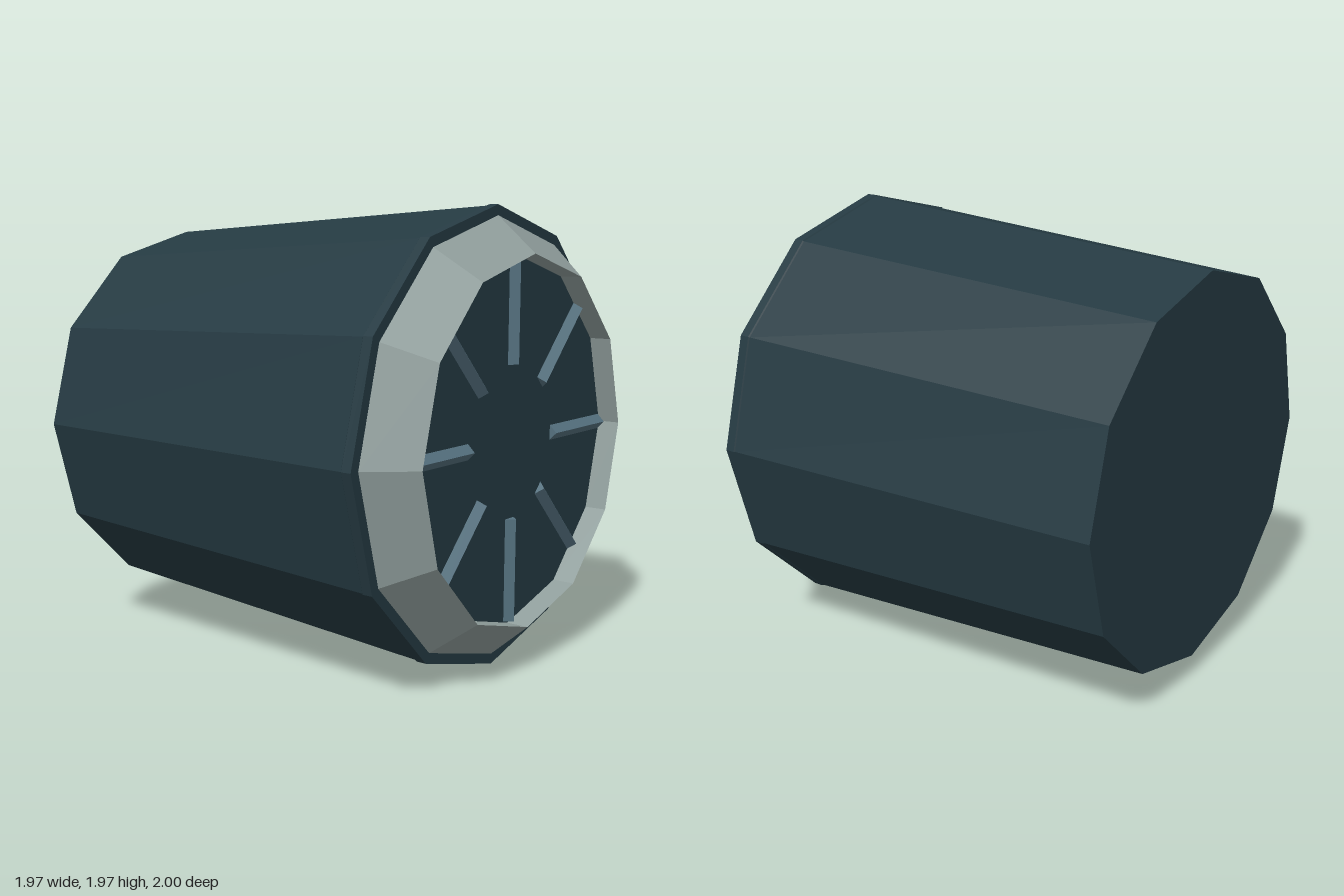
import * as THREE from 'three';

const SIDES = 12;
const CENTRE_Y = 0.985;

// Faceted solid of revolution around the z axis; profile points are [radius, z]
function turned(name, profile, material) {
  const geo = new THREE.LatheGeometry(profile.map(([r, z]) => new THREE.Vector2(r, z)), SIDES);
  geo.rotateX(Math.PI / 2);
  const mesh = new THREE.Mesh(geo, material);
  mesh.name = name;
  return mesh;
}

export function createModel() {
  const make = (name, color) => {
    const m = new THREE.MeshStandardMaterial({ color, flatShading: true });
    m.name = name;
    return m;
  };
  const dark = make('dark teal', 0x253a42);
  const grey = make('pale grey', 0x919f9d);
  const blue = make('slate blue', 0x55717f);

  const model = new THREE.Group();
  model.name = 'taperedDrum';
  const drum = new THREE.Group();
  drum.name = 'drum';
  drum.position.y = CENTRE_Y;
  model.add(drum);

  // Tapered body with closed back and a narrow front band
  drum.add(turned('body', [[0, -1], [0.87, -1], [0.98, 0.77]], dark));
  drum.add(turned('frontBand', [[0.98, 0.77], [0.985, 0.775], [0.985, 0.82], [0.93, 0.82]], dark));

  // Bevelled bezel with a straight inner wall
  drum.add(turned('bezel', [[0.94, 0.82], [0.785, 1], [0.785, 0.9]], grey));

  // Recessed front plate
  drum.add(turned('frontPlate', [[0.785, 0.9], [0, 0.9]], dark));

  // Eight radial ridges, square bars set on edge
  const ridges = new THREE.Group();
  ridges.name = 'ridges';
  const bar = new THREE.BoxGeometry(0.445, 0.047, 0.047);
  bar.rotateX(Math.PI / 4);
  bar.translate(0.55, 0, 0.9);
  for (let i = 0; i < 8; i++) {
    const ridge = new THREE.Mesh(bar, blue);
    ridge.name = 'ridge';
    ridge.rotation.z = (i * Math.PI) / 4;
    ridges.add(ridge);
  }
  drum.add(ridges);

  return model;
}
